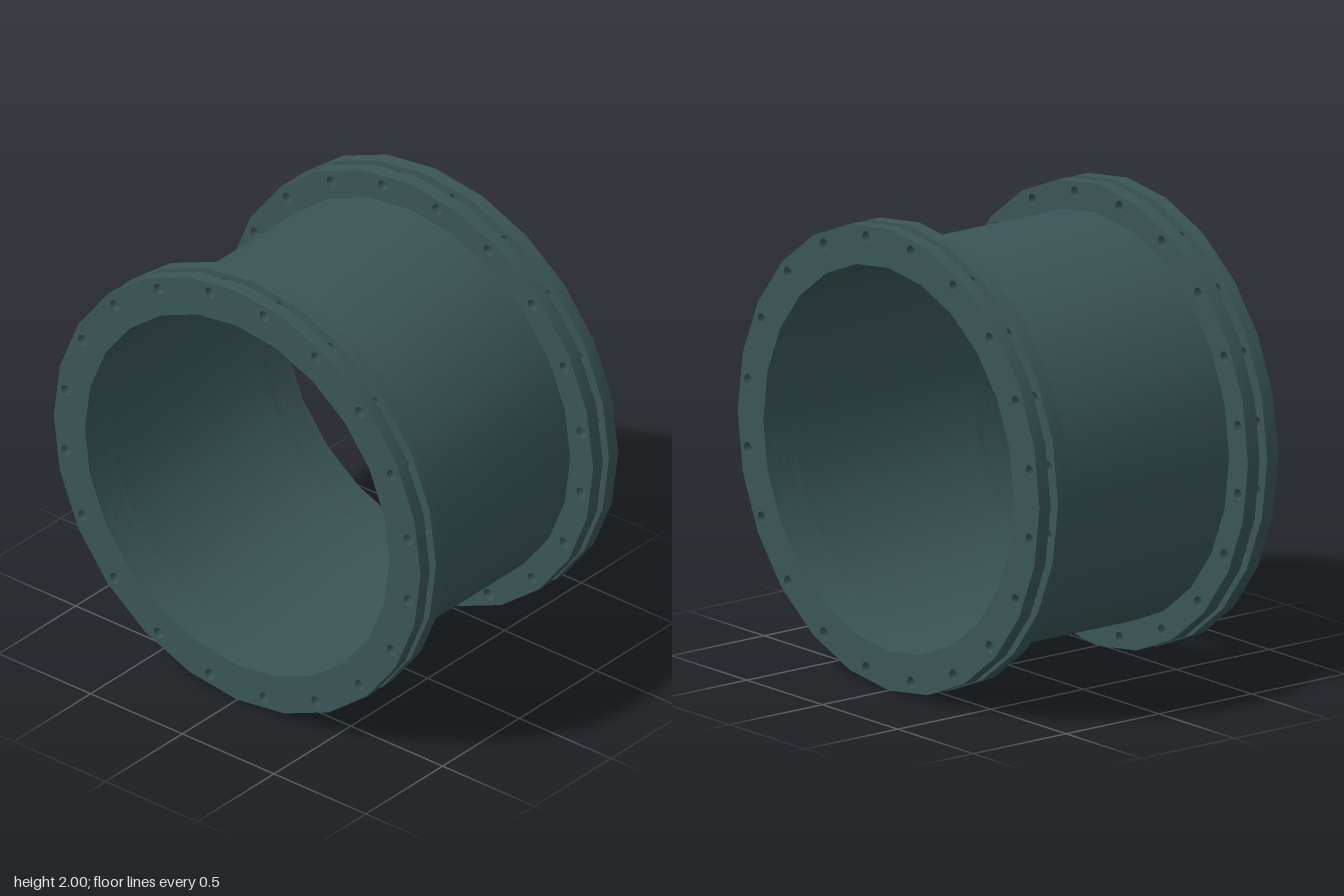
import * as THREE from 'three';
import { toCreasedNormals } from 'three/addons/utils/BufferGeometryUtils.js';

const SIDES = 24, BOLTS = 20;
const BORE = 0.83, BOLT_CIRCLE = 0.945, BOLT_RADIUS = 0.025;

// Points of a regular polygon
function polygon(radius, sides, cx = 0, cy = 0) {
  return Array.from({ length: sides }, (_, i) => {
    const a = (i / sides) * Math.PI * 2;
    return new THREE.Vector2(cx + radius * Math.cos(a), cy + radius * Math.sin(a));
  });
}

// Ring around the x axis between x0 and x1, optionally drilled for bolts
function ringGeometry(radius, x0, x1, drilled = false) {
  const shape = new THREE.Shape(polygon(radius, SIDES));
  shape.holes.push(new THREE.Path(polygon(BORE, SIDES)));
  for (let i = 0; drilled && i < BOLTS; i++) {
    const a = ((i + 0.5) / BOLTS) * Math.PI * 2;
    shape.holes.push(new THREE.Path(polygon(
      BOLT_RADIUS, 16, BOLT_CIRCLE * Math.cos(a), BOLT_CIRCLE * Math.sin(a))));
  }
  const geometry = new THREE.ExtrudeGeometry(shape, { depth: x1 - x0, bevelEnabled: false });
  geometry.translate(0, 0, x0).rotateY(Math.PI / 2);
  return toCreasedNormals(geometry, 0.6);
}

export function createModel() {
  const model = new THREE.Group();
  model.name = 'flangedPipe';
  const material = new THREE.MeshStandardMaterial({ color: 0x3a5656 });

  const add = (name, geometry) => {
    const mesh = new THREE.Mesh(geometry, material);
    mesh.name = name;
    mesh.position.y = 1;
    model.add(mesh);
  };

  // Main pipe
  add('barrel', ringGeometry(0.875, -0.48, 0.48));

  // Paired flanges with a narrow neck between them at each end
  for (const [side, s] of [['left', 1], ['right', -1]]) {
    const ring = (name, radius, a, b, drilled) =>
      add(side + name, ringGeometry(radius, Math.min(s * a, s * b), Math.max(s * a, s * b), drilled));
    ring('InnerFlange', 1, 0.48, 0.543, true);
    ring('Neck', 0.865, 0.543, 0.583, false);
    ring('OuterFlange', 1, 0.583, 0.643, true);
  }
  return model;
}
